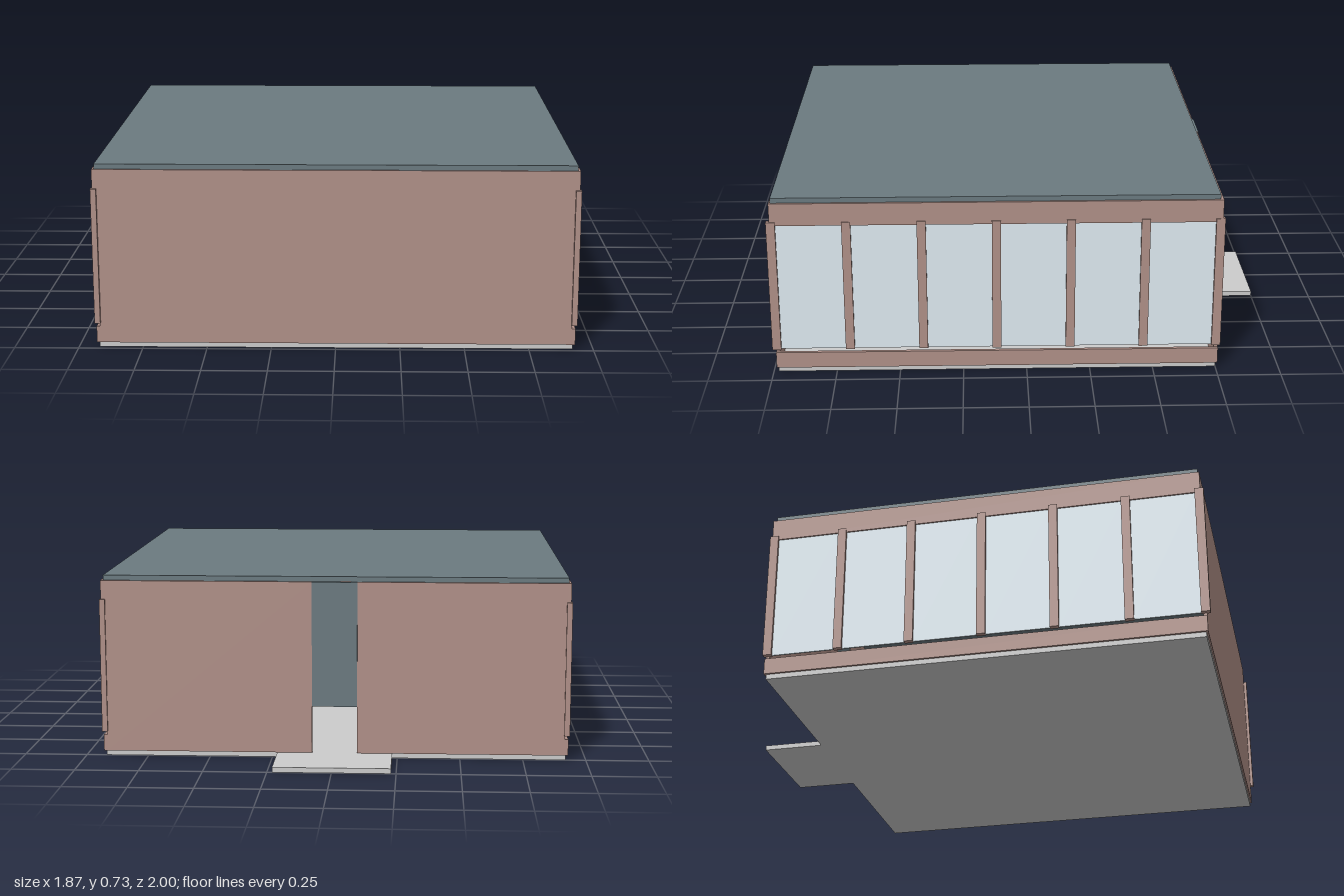
import * as THREE from 'three';

const material = (color) => new THREE.MeshStandardMaterial({ color });

export function createModel() {
  const model = new THREE.Group();
  const brick = material(0xb09088);
  const slate = material(0x6b7a80);
  const glass = material(0xdfebf2);
  const concrete = material(0xcccccc);

  // Box given by its extents along each axis
  const block = (name, mat, [x0, x1], [y0, y1], [z0, z1], parent = model) => {
    const mesh = new THREE.Mesh(new THREE.BoxGeometry(x1 - x0, y1 - y0, z1 - z0), mat);
    mesh.position.set((x0 + x1) / 2, (y0 + y1) / 2, (z0 + z1) / 2);
    mesh.name = name;
    parent.add(mesh);
    return mesh;
  };

  // Floor slab with the entrance step in one outline
  const outline = new THREE.Shape([
    [-0.92, -0.98], [0.92, -0.98], [0.92, 0.75], [0.23, 0.75],
    [0.23, 1], [-0.23, 1], [-0.23, 0.75], [-0.92, 0.75],
  ].map(([x, y]) => new THREE.Vector2(x, y)));
  const slab = new THREE.Mesh(
    new THREE.ExtrudeGeometry(outline, { depth: 0.02, bevelEnabled: false }), concrete);
  slab.rotation.x = -Math.PI / 2;
  slab.name = 'floorSlab';
  model.add(slab);

  // Roof and solid front wall
  block('roof', slate, [-0.92, 0.92], [0.71, 0.73], [-0.745, 0.98]);
  block('frontWall', brick, [-0.915, 0.915], [0.02, 0.71], [0.972, 0.987]);

  // Back wall in two halves around the doorway, with a raised door panel
  for (const [x0, x1] of [[-0.915, -0.09], [0.09, 0.915]]) {
    block('backWall', brick, [x0, x1], [0.02, 0.71], [-0.757, -0.742]);
  }
  block('door', slate, [-0.09, 0.09], [0.21, 0.71], [-0.762, -0.747]);

  // Window walls: bands, posts and panes, the same on both sides
  const pitch = 0.2883, firstPost = 0.9825, half = 0.0175;
  for (const side of [-1, 1]) {
    const wall = new THREE.Group();
    wall.name = side > 0 ? 'leftWindowWall' : 'rightWindowWall';
    model.add(wall);
    const across = (a, b) => (side > 0 ? [a, b] : [-b, -a]);

    block('lowerBand', brick, across(0.915, 0.929), [0.02, 0.085], [-0.757, 0.987], wall);
    block('upperBand', brick, across(0.915, 0.929), [0.62, 0.71], [-0.757, 0.987], wall);
    for (let i = 0; i < 7; i++) {
      const z = firstPost - i * pitch;
      block('post', brick, across(0.912, 0.934), [0.1, 0.635], [z - half, z + half], wall);
      if (i < 6) {
        block('windowPane', glass, across(0.917, 0.923), [0.1, 0.622],
          [z - pitch + half, z - half], wall);
      }
    }
  }
  return model;
}
